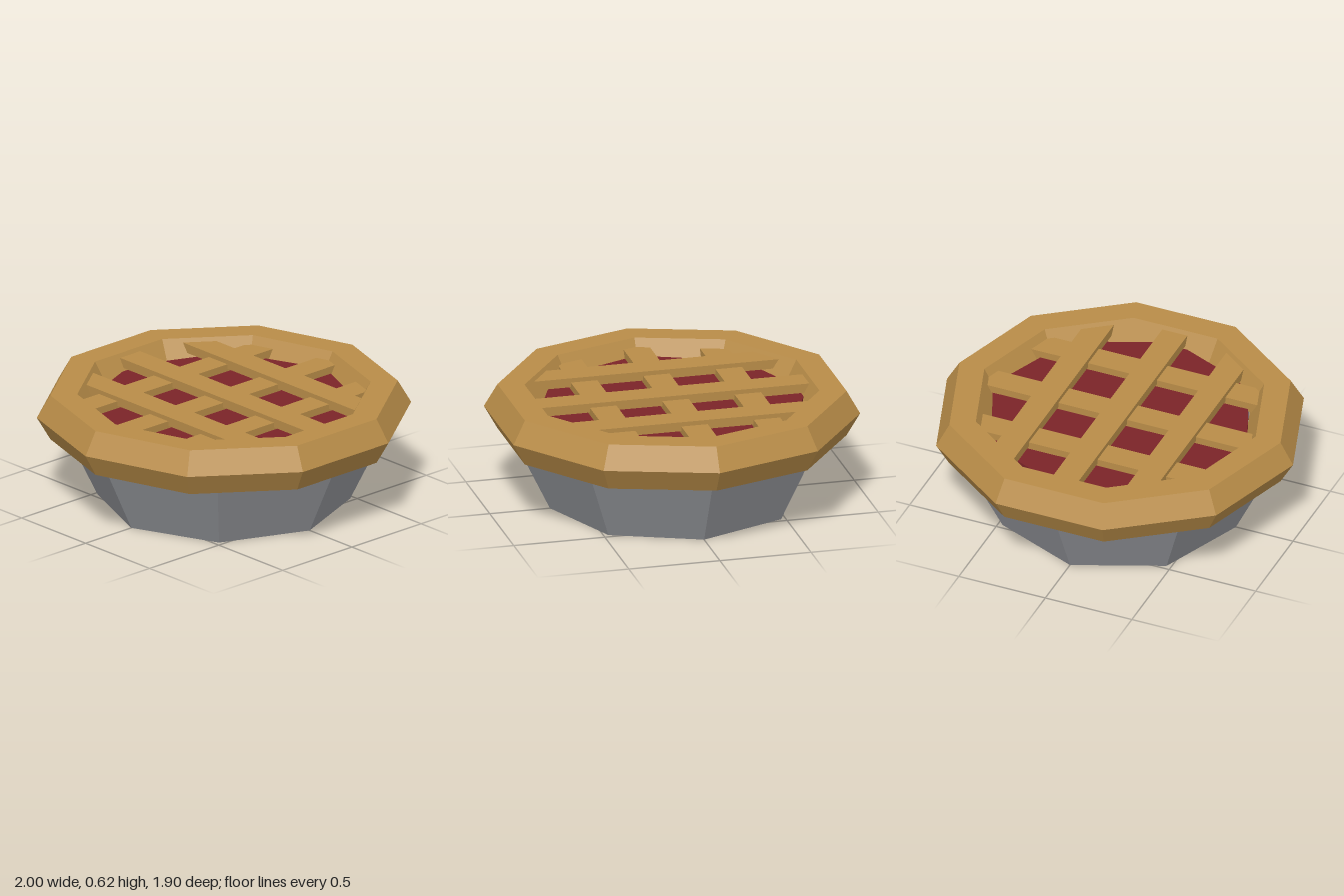
import * as THREE from 'three';

export function createModel() {
  const model = new THREE.Group();
  model.name = 'latticePie';

  const material = (name, color) => {
    const m = new THREE.MeshStandardMaterial({ color, flatShading: true });
    m.name = name;
    return m;
  };
  const pastry = material('pastry', 0xb88c48);
  const cherry = material('cherryFilling', 0x7b2428);
  const metal = material('tinMetal', 0x94969b);

  const add = (name, geometry, mat, x, y, z) => {
    const mesh = new THREE.Mesh(geometry, mat);
    mesh.name = name;
    mesh.position.set(x, y, z);
    model.add(mesh);
    return mesh;
  };

  // Eight-sided tapered tin, its rim hidden inside the crust
  add('tin', new THREE.CylinderGeometry(0.884, 0.67, 0.44, 8), metal, 0, 0.22, 0);

  // Filling slab resting on the tin
  add('filling', new THREE.CylinderGeometry(0.735, 0.735, 0.1, 8), cherry, 0, 0.485, 0);

  // Ten-sided crust ring with a hexagonal section
  const ring = new THREE.TorusGeometry(0.856, 0.144, 6, 10).rotateX(-Math.PI / 2);
  add('crust', ring, pastry, 0, 0.495, 0);

  // Lattice: three lower strips across, three upper strips front to back
  const width = 0.145;
  for (const offset of [-0.397, 0, 0.397]) {
    const length = offset === 0 ? 1.62 : 1.42;
    add('lowerStrip', new THREE.BoxGeometry(length, 0.055, width), pastry, 0, 0.5475, offset);
    add('upperStrip', new THREE.BoxGeometry(width, 0.05, length), pastry, offset, 0.574, 0);
  }

  return model;
}
